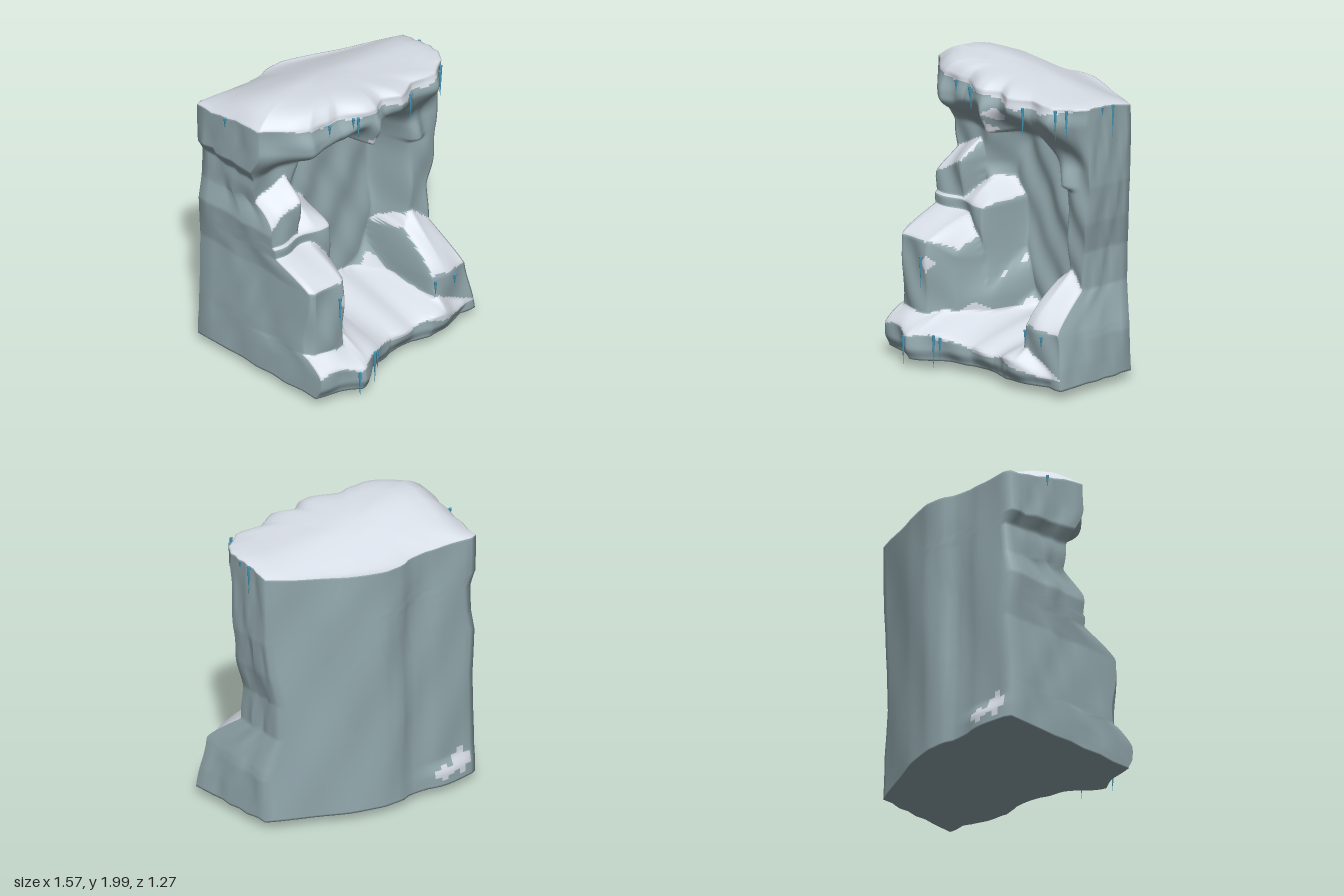
import * as THREE from 'three';

const mix = THREE.MathUtils.lerp;
const clamp = THREE.MathUtils.clamp;
// Smooth step from a to b (a may be larger than b)
const ss = (a, b, v) => { const t = clamp((v - a) / (b - a), 0, 1); return t * t * (3 - 2 * t); };
const bell = (v, c, w) => Math.exp(-(((v - c) / w) ** 2));
// Piecewise linear curve through [position, value] pairs
function curve(pts, v) {
  if (v <= pts[0][0]) return pts[0][1];
  for (let i = 1; i < pts.length; i++) {
    const [a, p] = pts[i - 1], [b, q] = pts[i];
    if (v <= b) return mix(p, q, (v - a) / (b - a));
  }
  return pts[pts.length - 1][1];
}

// Outlines: sides by height; crown, base, lower shelf and back depth by x; top line by x
const LEFT = [[0.06, -0.75], [0.4, -0.745], [0.8, -0.73], [1.1, -0.77], [1.25, -0.74], [1.45, -0.73], [1.55, -0.785], [1.9, -0.78]];
const RIGHT = [[0.06, 0.78], [0.2, 0.76], [0.4, 0.72], [0.65, 0.65], [0.9, 0.65], [1.1, 0.69], [1.35, 0.72], [1.9, 0.73]];
const CROWN = [[-0.78, 0.03], [-0.7, 0.08], [-0.5, 0.21], [-0.35, 0.23], [-0.27, 0.22], [-0.02, 0.31], [0.08, 0.27], [0.2, 0.29], [0.35, 0.23], [0.55, 0.24], [0.68, 0.15], [0.74, 0.04]];
const BASE = [[-0.72, 0.53], [-0.55, 0.57], [-0.4, 0.62], [-0.2, 0.52], [0, 0.42], [0.2, 0.42], [0.33, 0.47], [0.6, 0.41], [0.75, 0.33], [0.78, 0.25]];
const FLOOR = [[-0.35, 0.4], [-0.15, -0.26], [0.34, -0.26], [0.45, 0.32]];
const SHELF = [[-0.74, 0.33], [-0.66, 0.43], [-0.42, 0.44], [-0.3, 0.3], [-0.18, 0.06], [-0.1, -0.25]];
const BACK = [[-0.75, -0.59], [-0.7, -0.61], [-0.43, -0.6], [-0.35, -0.58], [-0.22, -0.58], [-0.14, -0.62], [0, -0.62], [0.25, -0.53], [0.73, -0.29]];
const TOP = [[-0.78, 1.95], [-0.7, 1.985], [-0.6, 2.0], [-0.3, 1.985], [0, 1.955], [0.3, 1.925], [0.5, 1.91], [0.73, 1.915]];
// Snow edges by x: top lip, then lower and upper edge of the base drift
const LIP = [[-0.6, 1.885], [-0.4, 1.855], [-0.3, 1.87], [-0.18, 1.85], [-0.05, 1.87], [0.1, 1.845], [0.27, 1.815], [0.35, 1.845], [0.45, 1.825], [0.6, 1.86], [0.74, 1.88]];
const DRIFT_LOW = [[-0.7, 0.22], [-0.6, 0.25], [-0.5, 0.25], [-0.44, 0.2], [-0.36, 0.23], [-0.28, 0.25], [-0.22, 0.2], [-0.1, 0.22], [0, 0.17], [0.2, 0.17], [0.3, 0.2], [0.4, 0.17], [0.6, 0.13], [0.75, 0.13]];
const DRIFT_HIGH = [[-0.7, 0.29], [-0.6, 0.34], [-0.45, 0.3], [-0.3, 0.33], [-0.24, 0.39], [-0.18, 0.33], [0.3, 0.34], [0.36, 0.32], [0.75, 0.14]];
// Small snow patches: x, y, half width, half height
const PATCHES = [[0.05, 1.74, 0.06, 0.055], [-0.01, 1.63, 0.03, 0.06], [-0.42, 0.66, 0.04, 0.06]];
const REAR_PATCHES = [[-0.62, 0.19, 0.1, 0.09], [-0.48, 0.15, 0.1, 0.05]];
const inPatch = (list, x, y) => list.some(([px, py, w, h]) => Math.abs(x - px) / w + Math.abs(y - py) / h < 1);

// A shelf: full depth below, sloping back over its drop, absent above
function shelf(y, top, drop, front, back, weight) {
  const t = clamp((y - top + drop) / drop, 0, 1);
  return mix(-0.3, mix(front, back, t ** 1.4), t >= 1 ? 0 : weight);
}

const rough = (x, y) => 0.009 * (Math.sin(13 * x + 5 * y) + Math.sin(9 * y - 17 * x + 1) + Math.sin(23 * x + 14 * y + 2));

// Depth of the carved front at x, y
function frontDepth(x, y) {
  let z = mix(-0.08, 0.05, ss(-0.1, 0.4, x));
  z += 0.055 * bell(x, 0.52, 0.06) * ss(1.29, 1.33, y) * ss(1.65, 1.34, y);
  // Left shelves: upper one and the one beside the niche
  z = Math.max(z, shelf(y, 1.39 + 0.5 * Math.min(x + 0.48, 0), 0.13, 0.08, -0.08, ss(-0.38, -0.48, x)));
  const knob = Math.max(1.16 - 0.6 * Math.abs(x + 0.36), 1.03);
  z = Math.max(z, shelf(y, knob, knob - 1, 0.1, -0.1, 1 - ss(-0.22, -0.13, x)));
  // Niche with a flared rim
  const half = x < 0.1 ? 0.28 + 0.11 * ss(1.02, 1.16, y) : 0.285;
  const rad = (Math.abs((x - 0.1) / half) ** 2.6 + Math.abs((y - 0.92) / 0.59) ** 2.6) ** (1 / 2.6);
  z = mix(-0.22, z, ss(0.99, 1.45 - 0.2 * ss(0.1, -0.1, x) * ss(1.25, 1.1, y), rad));
  // Large lower shelf and right mound
  z = Math.max(z, shelf(y, 0.95 - 0.12 * ss(-0.42, -0.25, x), 0.15, curve(SHELF, x), 0.05, 1 - ss(-0.3, -0.15, x) * ss(0.4, 0.8, y)));
  const mound = Math.max(0.77 - 0.9 * Math.abs(x - 0.52), 0.5);
  z = Math.max(z, shelf(y, mound, mound - 0.41, 0.35, 0.04, ss(0.34, 0.43, x)));
  // Base step with the niche floor
  const top = 0.34 - 0.17 * ss(0.32, 0.75, x) + 0.01 * Math.sin(19 * x);
  const drop = 0.11 + 0.05 * bell(x, 0.12, 0.2) - 0.04 * ss(0.4, 0.7, x);
  z = Math.max(z, shelf(y, top, drop, curve(BASE, x) - 0.03 * ss(0.14, 0.06, y), curve(FLOOR, x), 1));
  // Overhanging crown with a hanging tip
  const lip = curve(CROWN, x) + 0.03 * ss(1.88, 1.76, y) * ss(-0.75, -0.5, x);
  z = mix(z, Math.max(z, lip), ss(1.45, 1.72 + 0.12 * ss(-0.5, 0, x), y));
  z = mix(z, Math.max(z, lip - 0.05 * ss(1.75, 1.6, y)), bell(x, -0.02, 0.06) * ss(1.54, 1.61, y));
  return z + rough(x, y);
}

const COLS = 120, SIDE = 8, REAR = 30, ROWS = 140, Y0 = 0.06, Y1 = 1.89;

// One closed outline of the block at height y
function ring(y) {
  const pts = [];
  const xl = curve(LEFT, y), xr = curve(RIGHT, y), xb = Math.min(xr, 0.73);
  const fl = xl + 0.04 * ss(1.4, 1.2, y), bl = xl + 0.03 * ss(0.3, 1.6, y);
  const backZ = x => curve(BACK, x) + rough(x * 0.6, y * 0.5) * 0.5
    - 0.04 * ss(0.25, 0.14, y) * bell(x, -0.53, 0.16);
  const add = (x, z) => pts.push([x, y - 0.09 * ss(0, -0.6, z) * ss(1.4, Y1, y), z]);
  for (let i = 0; i <= COLS; i++) { const x = mix(fl, xr, i / COLS); add(x, frontDepth(x, y)); }
  const zr = frontDepth(xr, y), zl = frontDepth(fl, y), zbr = backZ(xb), zbl = backZ(bl);
  const swell = t => Math.sin(Math.PI * t) * rough(t, y);
  for (let i = 1; i < SIDE; i++) { const t = i / SIDE; add(mix(xr, xb, t) + swell(t), mix(zr, zbr, t)); }
  for (let i = 0; i <= REAR; i++) { const x = mix(xb, bl, i / REAR); add(x, backZ(x)); }
  for (let i = 1; i < SIDE; i++) { const t = i / SIDE; add(mix(bl, fl, t) - swell(t), mix(zbl, zl, t)); }
  return pts;
}

function blockGeometry() {
  const rings = [];
  for (let j = 0; j <= ROWS; j++) rings.push(ring(mix(Y0, Y1, j / ROWS)));
  // Domed cap shrinking towards its centre
  const rim = rings[ROWS], cx = -0.05, cz = -0.18;
  const dome = (x, z) => curve(TOP, x) - 0.17 * ss(-0.1, -0.7, z);
  for (const s of [0.985, 0.96, 0.92, 0.86, 0.76, 0.58, 0.3]) {
    rings.push(rim.map(([x, y, z]) => {
      const px = mix(cx, x, s), pz = mix(cz, z, s);
      return [px, mix(y, Math.max(dome(px, pz), y), 1 - s ** 9), pz];
    }));
  }
  const n = rim.length, verts = rings.flat();
  const topC = verts.push([cx, dome(cx, cz), cz]) - 1;
  const botC = verts.push([0, Y0, -0.05]) - 1;
  const rock = [], snow = [];
  const [a, b, c, d] = [0, 1, 2, 3].map(() => new THREE.Vector3());
  // Snow lies on the front's upward faces, its lip and drift, and in small patches
  const snowy = (p, q) => {
    a.fromArray(verts[p]); b.fromArray(verts[q]); c.fromArray(verts[q + n]); d.fromArray(verts[p + n]);
    const x = (a.x + c.x) / 2, y = (a.y + c.y) / 2;
    if (p % n >= COLS) return a.z < -0.5 && inPatch(REAR_PATCHES, x, y);
    if (y > curve(LIP, x) || inPatch(PATCHES, x, y)) return true;
    if (y > curve(DRIFT_LOW, x) && y < curve(DRIFT_HIGH, x)) return true;
    return y < 1.5 && c.sub(a).cross(d.sub(b)).normalize().y > 0.42;
  };
  for (let j = 0; j < rings.length - 1; j++) for (let i = 0; i < n; i++) {
    const p = j * n + i, q = j * n + (i + 1) % n;
    (j >= ROWS || snowy(p, q) ? snow : rock).push(p, q, q + n, p, q + n, p + n);
  }
  const last = (rings.length - 1) * n;
  for (let i = 0; i < n; i++) {
    const k = (i + 1) % n;
    snow.push(last + i, last + k, topC);
    rock.push(k, i, botC);
  }
  const g = new THREE.BufferGeometry();
  g.setAttribute('position', new THREE.Float32BufferAttribute(verts.flat(), 3));
  g.setIndex([...rock, ...snow]);
  g.addGroup(0, rock.length, 0);
  g.addGroup(rock.length, snow.length, 1);
  g.computeVertexNormals();
  return g;
}

export function createModel() {
  const rockMat = new THREE.MeshStandardMaterial({ color: 0x93a9ae });
  rockMat.name = 'frosted stone';
  const snowMat = new THREE.MeshStandardMaterial({ color: 0xd9dfe8 });
  snowMat.name = 'snow';
  const iceMat = new THREE.MeshStandardMaterial({ color: 0x4a9dbd });
  iceMat.name = 'blue ice';

  const model = new THREE.Group();
  model.name = 'snowyRockNiche';
  const block = new THREE.Mesh(blockGeometry(), [rockMat, snowMat]);
  block.name = 'rockBlock';
  model.add(block);

  // Icicles: x, top height, length, and depth where not on the front
  const icicles = new THREE.Group();
  icicles.name = 'icicles';
  for (const [x, y, len, z] of [
    [-0.36, 1.87, 0.09], [-0.19, 1.87, 0.08], [-0.16, 1.87, 0.16], [0.31, 1.84, 0.2], [0.59, 1.88, 0.2], [0.64, 1.88, 0.19],
    [-0.46, 0.7, 0.21], [-0.44, 0.21, 0.19], [-0.24, 0.24, 0.24], [-0.2, 0.23, 0.15], [0.44, 0.4, 0.11], [0.6, 0.39, 0.09],
    [0.735, 1.88, 0.22, -0.13], [0.735, 1.88, 0.05, -0.04], [-0.78, 1.85, 0.08, -0.3],
  ]) {
    const icicle = new THREE.Mesh(new THREE.ConeGeometry(0.011, len, 6), iceMat);
    icicle.name = 'icicle';
    icicle.rotation.x = Math.PI;
    const depth = Math.max(...[0.1, 0.4, 0.7].map(t => frontDepth(x, Math.max(y - t * len, Y0))));
    icicle.position.set(x, y - len / 2, z ?? depth + 0.006);
    icicles.add(icicle);
  }
  model.add(icicles);
  return model;
}
